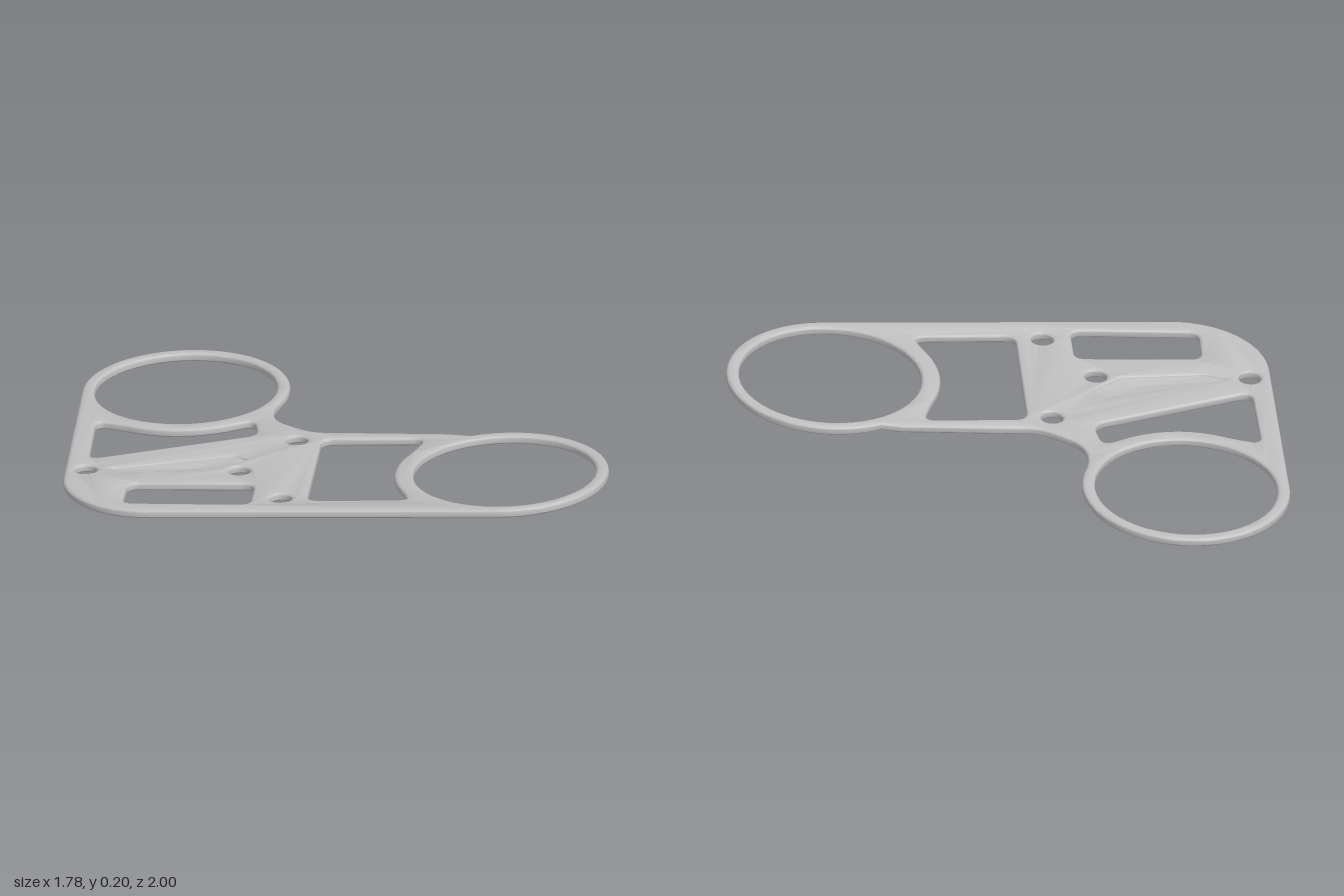
import * as THREE from 'three';
import { toCreasedNormals } from 'three/addons/utils/BufferGeometryUtils.js';

const RING_A = [-0.126, -0.633], RING_B = [0.52, 0.634], CORNER = [-0.568, 0.051];
const RING_OUTER = 0.368, RING_INNER = 0.322, CORNER_R = 0.326;
const THICK = 0.032, BEVEL = 0.014, SLOPE = 0.085;
const rad = THREE.MathUtils.degToRad;

const circle = ([x, z], r) => new THREE.Path().absarc(x, z, r, 0, Math.PI * 2);

const arcPoints = ([x, z], r, degrees) =>
  degrees.map(d => [x + r * Math.cos(rad(d)), z + r * Math.sin(rad(d))]);

// Closed polygon with softened corners
function roundedPolygon(points, radius) {
  const path = new THREE.Path();
  const v = points.map(p => new THREE.Vector2(...p));
  const toward = (a, b) => {
    const len = a.distanceTo(b);
    return a.clone().lerp(b, Math.min(radius, len * 0.45) / len);
  };
  v.forEach((p, i) => {
    const start = toward(p, v[(i + v.length - 1) % v.length]);
    const end = toward(p, v[(i + 1) % v.length]);
    if (i === 0) path.moveTo(start.x, start.y);
    else path.lineTo(start.x, start.y);
    path.quadraticCurveTo(p.x, p.y, end.x, end.y);
  });
  path.closePath();
  return path;
}

// Sheet falling from the pocket edge to a low centre
function dishedSheet(outline, centre, edgeY, centreY) {
  const pos = [];
  outline.forEach((p, i) => {
    const q = outline[(i + 1) % outline.length];
    pos.push(centre[0], centreY, centre[1], q[0], edgeY, q[1], p[0], edgeY, p[1]);
  });
  const geo = new THREE.BufferGeometry();
  geo.setAttribute('position', new THREE.Float32BufferAttribute(pos, 3));
  geo.computeVertexNormals();
  return geo;
}

export function createModel() {
  const group = new THREE.Group();
  const grey = new THREE.MeshStandardMaterial({ color: 0xbfbfbf, side: THREE.DoubleSide });
  grey.name = 'light grey';

  // Outline in plan: two rings joined to a rounded corner, with a waist between the rings
  const outline = new THREE.Shape();
  outline.absarc(...RING_B, RING_OUTER, rad(-84), rad(120));
  outline.absarc(...CORNER, CORNER_R, rad(120), rad(210));
  outline.absarc(...RING_A, RING_OUTER, rad(210), rad(410));
  outline.bezierCurveTo(0.03, -0.28, 0.02, -0.21, 0.045, -0.15);
  outline.bezierCurveTo(0.07, -0.08, 0.09, -0.035, 0.15, -0.005);
  outline.lineTo(0.5, 0.215);
  outline.closePath();

  // Ring openings and the three windows
  const backWindow = [[-0.53, -0.52], ...arcPoints(RING_A, 0.388, [152, 138, 124, 110, 96]),
    [-0.04, -0.245], [-0.09, -0.115], [-0.70, -0.218]];
  const frontWindow = [[0.09, 0.035], [0.41, 0.215], ...arcPoints(RING_B, 0.393, [241, 225, 209, 193, 179]),
    [0.11, 0.70], [-0.2, 0.525]];
  const sideWindow = [[-0.68, 0.062], [-0.295, 0.292], [-0.39, 0.455], [-0.775, 0.215]];
  outline.holes.push(circle(RING_A, RING_INNER), circle(RING_B, RING_INNER),
    roundedPolygon(backWindow, 0.05), roundedPolygon(frontWindow, 0.05), roundedPolygon(sideWindow, 0.045));

  // Bolt holes
  [[-0.752, -0.132], [0.008, 0], [-0.288, 0.153], [-0.271, 0.459]]
    .forEach(p => outline.holes.push(circle(p, 0.038)));

  // Recessed pocket in the central plate
  const pocket = [[-0.68, -0.1], [-0.24, 0.02], [-0.22, 0.075], [-0.36, 0.1], [-0.62, -0.03]];
  outline.holes.push(roundedPolygon(pocket, 0.02));

  const frameGeo = new THREE.ExtrudeGeometry(outline, {
    depth: THICK - 2 * BEVEL, curveSegments: 24, bevelEnabled: true,
    bevelThickness: BEVEL, bevelSize: BEVEL, bevelOffset: -BEVEL, bevelSegments: 4,
  });
  frameGeo.translate(0, 0, -(THICK / 2 - BEVEL));
  frameGeo.rotateX(Math.PI / 2);
  const frame = new THREE.Mesh(toCreasedNormals(frameGeo, 0.7), grey);
  frame.name = 'frame';
  group.add(frame);

  // Pocket floor, upper and lower faces
  for (const [name, side] of [['pocketFloorTop', 1], ['pocketFloorUnderside', -1]]) {
    const points = side > 0 ? pocket : [...pocket].reverse();
    const floor = new THREE.Mesh(dishedSheet(points, [-0.4, 0.03], side * 0.009, side * 0.001), grey);
    floor.name = name;
    group.add(floor);
  }

  // Tilt so the front ring sits higher than the back ring
  const tilted = new THREE.Group();
  tilted.name = 'tiltedBracket';
  tilted.add(...group.children);
  tilted.rotation.x = -Math.atan(SLOPE);
  tilted.position.y = 0.101;
  group.add(tilted);
  return group;
}
